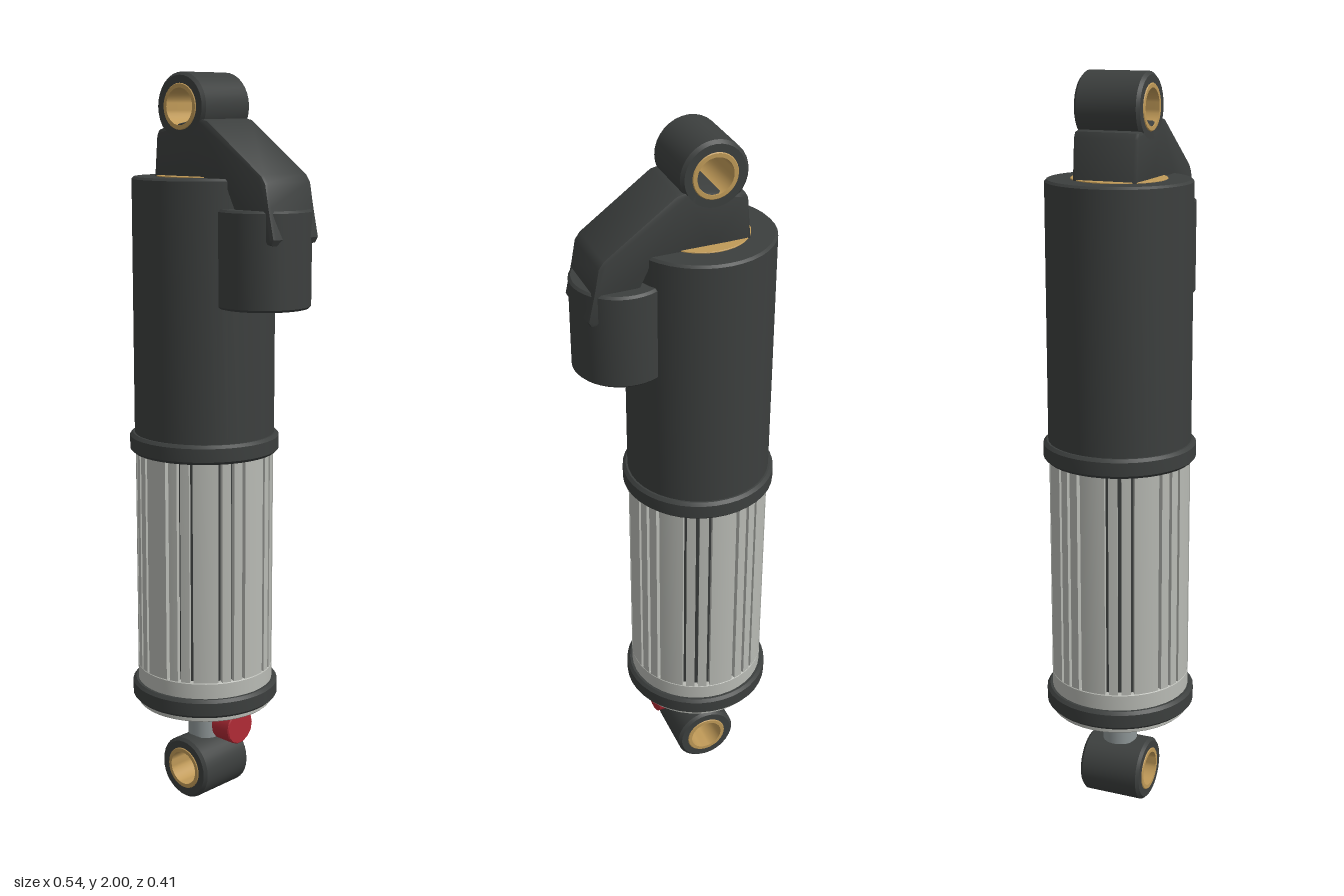
import * as THREE from 'three';
import { toCreasedNormals } from 'three/addons/utils/BufferGeometryUtils.js';

const AXIS = -0.067; // x of the main damper axis
const mat = (color) => new THREE.MeshStandardMaterial({ color });
const dark = mat(0x3c3f3e);
const silver = mat(0xb8bab4);
const steel = mat(0x8f9798);
const bronze = mat(0xc09a58);
const red = mat(0xb02a35);

export function createModel() {
  const model = new THREE.Group();

  const add = (name, geometry, material, x = AXIS, y = 0, z = 0) => {
    const mesh = new THREE.Mesh(geometry, material);
    mesh.name = name;
    mesh.position.set(x, y, z);
    model.add(mesh);
    return mesh;
  };

  const turned = (points, sides = 40) =>
    toCreasedNormals(new THREE.LatheGeometry(points.map(([r, y]) => new THREE.Vector2(r, y)), sides), 0.6);

  // Solid cylinder with chamfered rims
  const solid = (r, y0, y1, b = 0.006, sides = 40) =>
    turned([[0, y0], [r - b, y0], [r, y0 + b], [r, y1 - b], [r - b, y1], [0, y1]], sides);

  // Hollow cylinder, centred on its own middle
  const tube = (ro, ri, half, b) =>
    turned([[ri, -half], [ro - b, -half], [ro, b - half], [ro, half - b], [ro - b, half], [ri, half], [ri, -half]], 32);

  // Mounting eyes with bronze bushings
  for (const [name, y] of [['upper', 1.913], ['lower', 0.087]]) {
    add(name + 'Eye', tube(0.087, 0.058, 0.088, 0.008), dark, AXIS, y).rotation.x = Math.PI / 2;
    add(name + 'Bushing', tube(0.06, 0.047, 0.09, 0.003), bronze, AXIS, y).rotation.x = Math.PI / 2;
  }

  // Upper can, bronze cap and the two collars
  add('upperCan', solid(0.19, 1.02, 1.735), dark);
  add('bronzeCap', solid(0.124, 1.70, 1.738, 0.001), bronze);
  add('middleCollar', solid(0.203, 1.0, 1.052, 0.008), dark);
  add('lowerCollar', solid(0.203, 0.293, 0.345, 0.008), dark);

  // Slotted sleeve: eight groups of three narrow slots over a dark core
  const R = 0.188, floor = 0.168, half = 0.005 / R;
  const outline = [];
  const at = (r, a) => outline.push(new THREE.Vector2(r * Math.cos(a), r * Math.sin(a)));
  for (let g = 0; g < 8; g++) {
    const start = g * Math.PI / 4;
    at(R, start);
    at(R, start + 0.1);
    for (const offset of [-10.5, 0, 10.5]) {
      const a = start + THREE.MathUtils.degToRad(22.5 + offset);
      at(R, a - half);
      at(floor, a - half);
      at(floor, a + half);
      at(R, a + half);
      if (offset < 10) at(R, a + 0.0916);
    }
    at(R, start + Math.PI / 4 - 0.1);
  }
  const sleeve = new THREE.ExtrudeGeometry(new THREE.Shape(outline), { depth: 0.62, bevelEnabled: false });
  sleeve.rotateX(-Math.PI / 2);
  add('slottedSleeve', toCreasedNormals(sleeve, 0.6), silver, AXIS, 0.39);
  add('sleeveCore', new THREE.CylinderGeometry(0.172, 0.172, 0.62, 40), dark, AXIS, 0.7);
  add('sleeveBase', solid(R, 0.278, 0.39, 0.003), silver);

  // Piston rod and rebound adjuster
  add('pistonRod', new THREE.CylinderGeometry(0.048, 0.048, 0.13, 24), steel, AXIS, 0.235);
  add('adjusterKnob', solid(0.05, -0.033, 0.033, 0.003, 14), red, 0.037, 0.225).rotation.z = Math.PI / 2;

  // Side reservoir
  add('reservoir', solid(0.123, 1.408, 1.66), dark, 0.147);

  // Bridge from the upper eye to the reservoir, bevelled all round
  const bevel = 0.01;
  const bridge = new THREE.Shape([
    [-0.165, 1.733], [-0.06, 1.725], [0.1, 1.7], [0.16, 1.58], [0.25, 1.575], [0.258, 1.59],
    [0.24, 1.67], [0.229, 1.728], [0.215, 1.747], [0.03, 1.879], [0.0, 1.885],
    [-0.13, 1.86], [-0.148, 1.855], [-0.156, 1.84],
  ].map(([x, y]) => new THREE.Vector2(x, y)));
  const bridgeGeometry = new THREE.ExtrudeGeometry(bridge, {
    depth: 0.176 - 2 * bevel, bevelThickness: bevel, bevelSize: bevel, bevelOffset: -bevel, bevelSegments: 2,
  });
  bridgeGeometry.translate(0, 0, bevel - 0.088);
  add('bridge', toCreasedNormals(bridgeGeometry, 0.6), dark, 0);

  return model;
}
